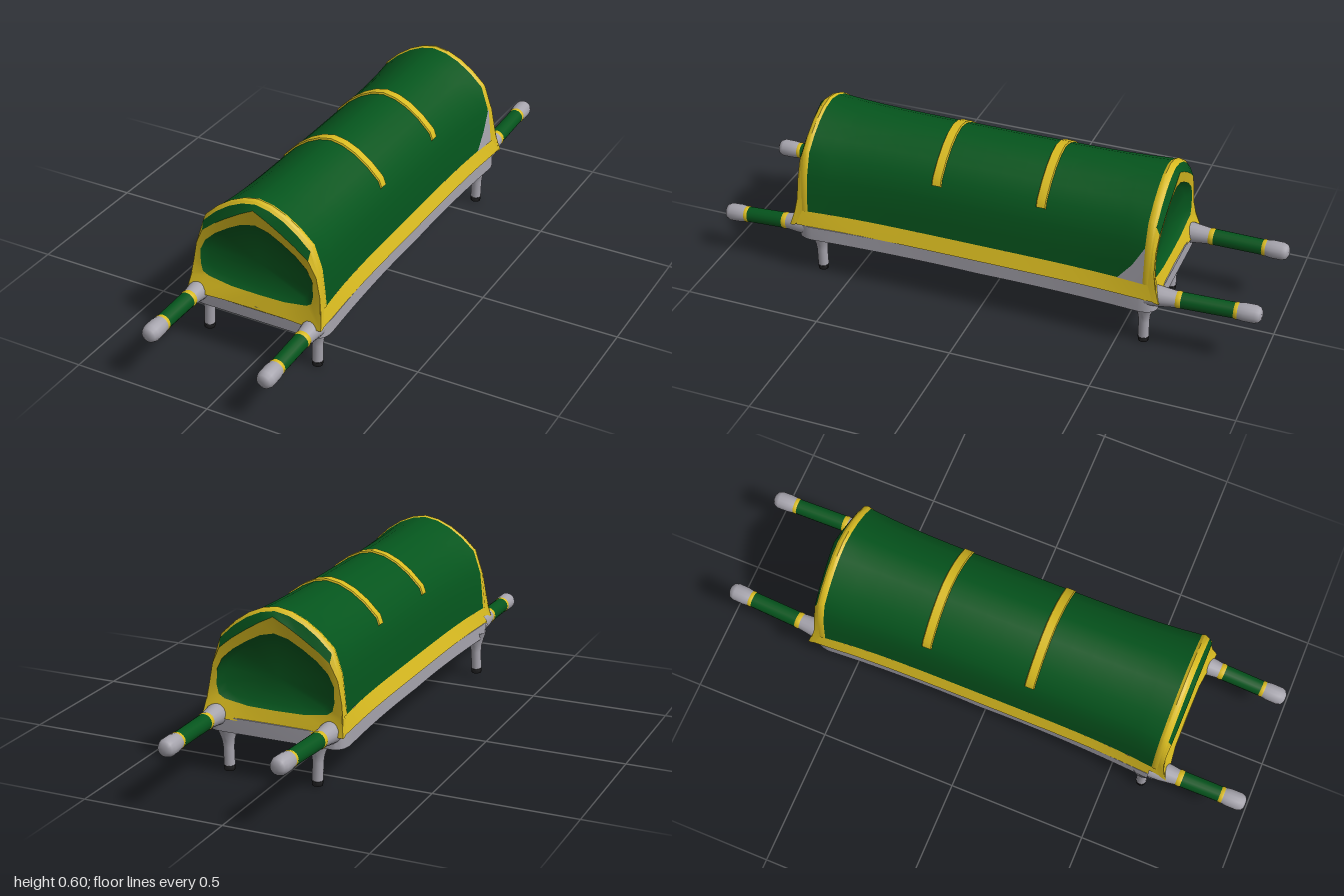
import * as THREE from 'three';
import { toCreasedNormals } from 'three/addons/utils/BufferGeometryUtils.js';

const paint = (name, color) => Object.assign(new THREE.MeshStandardMaterial({ color, side: THREE.DoubleSide }), { name });

// Half contours of the arch, from the ridge down the left side to the middle of the sill
const ARCH = [[0, .595], [.05, .586], [.1, .564], [.15, .53], [.2, .483], [.228, .4], [.237, .32], [.242, .265], [.254, .21], [.12, .2], [0, .2]];
const RIM = [[0, .588], [.05, .578], [.1, .555], [.15, .52], [.2, .472], [.227, .392], [.238, .316], [.244, .264], [.255, .207], [.12, .2], [0, .2]];
const BAND = [[0, .573], [.05, .547], [.1, .516], [.15, .482], [.198, .442], [.225, .385], [.239, .31], [.246, .262], [.255, .205], [.12, .2], [0, .2]];
const PANEL = [[0, .515], [.05, .503], [.1, .476], [.15, .443], [.19, .405], [.21, .365], [.212, .31], [.205, .28], [.185, .265], [.1, .252], [0, .25]];

const mirrored = half => [...half.slice(1).reverse().map(([x, y]) => [-x, y]), ...half];

// Surface through rows of [x, y, z] points
function loft(rows, crease = 0.7) {
  const n = rows[0].length, index = [];
  for (let i = 0; i < rows.length - 1; i++) {
    for (let j = 0; j < n - 1; j++) {
      const a = i * n + j, b = a + n;
      index.push(a, b, a + 1, b, b + 1, a + 1);
    }
  }
  const g = new THREE.BufferGeometry();
  g.setAttribute('position', new THREE.Float32BufferAttribute(rows.flat(2), 3));
  g.setIndex(index);
  return toCreasedNormals(g, crease);
}

// Cross-section at z: slimmer and a little lower in the middle than at the ends
function section(pts, z, s = 1) {
  const mid = 1 - Math.min(1, Math.pow(Math.abs(z - .02) / .63, 4));
  return pts.map(([x, y]) => [x * s * (1 - mid * (y < .25 ? .06 : .09)), .2 + (y - .2) * s * (1 - .03 * mid), z]);
}

function span(z0, z1, n) {
  return Array.from({ length: n + 1 }, (_, i) => z0 + (z1 - z0) * i / n);
}

// Plan outline of the base, scaled by s
function outline(s) {
  const plan = new THREE.Shape();
  plan.moveTo(-.2, -.69);
  plan.lineTo(.2, -.69);
  plan.quadraticCurveTo(.252, -.69, .252, -.63);
  plan.quadraticCurveTo(.228, -.3, .235, 0);
  plan.quadraticCurveTo(.228, .3, .247, .58);
  plan.quadraticCurveTo(.247, .64, .2, .64);
  plan.lineTo(-.2, .64);
  plan.quadraticCurveTo(-.247, .64, -.247, .58);
  plan.quadraticCurveTo(-.228, .3, -.235, 0);
  plan.quadraticCurveTo(-.228, -.3, -.252, -.63);
  plan.quadraticCurveTo(-.252, -.69, -.2, -.69);
  return plan.getPoints(8).map(p => p.multiplyScalar(s));
}

export function createModel() {
  const green = paint('green', 0x05551d), yellow = paint('yellow', 0xd9bb20);
  const grey = paint('grey', 0xa6a4ad), black = paint('black', 0x29292b);
  const model = new THREE.Group();

  const add = (name, geometry, material, parent = model) => {
    const m = new THREE.Mesh(geometry, material);
    m.name = name;
    parent.add(m);
    return m;
  };

  // Canopy skin, end rims and hem
  const roof = mirrored(ARCH.slice(0, 8));
  add('canopy', loft(span(-.59, .645, 16).map(z => section(roof, z))), green);
  add('frontRim', loft([.645, .655, .666].map(z => section(roof, z, z === .655 ? 1.01 : 1))), yellow);
  add('backRim', loft([-.611, -.6, -.59].map(z => section(roof, z, z === -.6 ? 1.01 : 1))), yellow);
  const hem = ARCH.slice(7, 9);
  const zs = span(-.635, .685, 16);
  add('leftHem', loft(zs.map(z => section(hem, z))), yellow);
  add('rightHem', loft(zs.map(z => section(hem.map(([x, y]) => [-x, y]).reverse(), z))), yellow);

  // Raised straps over the roof
  const strap = mirrored([...ARCH.slice(0, 5), [.211, .455]]);
  for (const z of [.168, -.212]) {
    add('roofStrap', loft([[-.018, 1], [-.015, 1.015], [.015, 1.015], [.018, 1]]
      .map(([d, s]) => section(strap, z + d, s))), yellow);
  }

  // Bare corner at the back of the left side
  const corner = ARCH.slice(5, 8), foot = corner[2];
  add('barePatch', loft([[-.592, 1], [-.55, .45], [-.5, 0]].map(([z, t]) =>
    section(corner.map(([x, y]) => [foot[0] + (x - foot[0]) * t, foot[1] + (y - foot[1]) * t]), z, 1.012))), grey);

  // End wall: green ring, yellow band and recessed green panel
  const atDepth = (half, zFor) => mirrored(half)
    .map(([x, y], k) => [x, y, zFor(Math.abs(k - half.length + 1))]);
  const outer = atDepth(ARCH, i => i < 8 ? .665 : .688);
  const rim = atDepth(RIM, i => i < 7 ? .674 : .694);
  const band = atDepth(BAND, i => [.69, .69, .689, .688, .686, .683, .684, .692, .71, .694, .692][i]);
  const panel = atDepth(PANEL, i => i < 8 ? .682 : .678);
  const inset = panel.map(([x, y]) => [x * .88, .36 + (y - .36) * .85, .662]);
  const centre = panel.map(() => [0, .36, .658]);
  function endWall(name) {
    const g = new THREE.Group();
    g.name = name;
    add('endEdge', loft([outer, rim]), yellow, g);
    // The green ring shows on the upper part of the arch only
    add('endRing', loft([rim.slice(6, 15), band.slice(6, 15)]), green, g);
    add('endPostLeft', loft([rim.slice(14), band.slice(14)]), yellow, g);
    add('endPostRight', loft([rim.slice(0, 7), band.slice(0, 7)]), yellow, g);
    add('endBand', loft([band, panel]), yellow, g);
    add('endPanel', loft([panel, inset, centre], 1.2), green, g);
    model.add(g);
    return g;
  }
  endWall('frontEnd');
  const back = endWall('backEnd');
  back.scale.z = -1;
  back.position.z = .055;

  // Base frame
  const frame = new THREE.Shape(outline(1));
  frame.holes.push(new THREE.Path(outline(.95)));
  const frameGeometry = new THREE.ExtrudeGeometry(frame, { depth: .053, bevelEnabled: false });
  frameGeometry.rotateX(-Math.PI / 2).translate(0, .155, 0);
  add('baseFrame', toCreasedNormals(frameGeometry, .6), grey);

  // Thin hollowed floor with a row of oval openings
  const floor = new THREE.Shape(outline(.97));
  for (let i = -2; i <= 2; i++) {
    const hole = new THREE.Path();
    hole.absellipse(0, i * .205 - .05, .075, .06, 0, Math.PI * 2, true);
    floor.holes.push(hole);
  }
  const floorGeometry = new THREE.ShapeGeometry(floor, 8).rotateX(-Math.PI / 2);
  const p = floorGeometry.attributes.position;
  for (let i = 0; i < p.count; i++) p.setY(i, .188 - .03 * Math.pow(p.getX(i) / .235, 2));
  add('floor', toCreasedNormals(floorGeometry, .6), grey);

  // Lumpy brackets under the floor
  for (const z of [.46, -.45]) {
    for (const [x, drop] of [[-.14, .035], [.08, .03], [.15, .03]]) {
      const lump = add('underBracket', new THREE.IcosahedronGeometry(1, 1), grey);
      lump.scale.set(.055, drop, .075);
      lump.position.set(x, .157, z);
    }
  }

  // Turned part running from a to b; each piece is [name, material, [radius, distance]...]
  function turned(name, a, b, pieces) {
    const g = new THREE.Group();
    g.name = name;
    const from = new THREE.Vector3(...a), dir = new THREE.Vector3(...b).sub(from).normalize();
    g.position.copy(from);
    g.quaternion.setFromUnitVectors(new THREE.Vector3(0, 1, 0), dir);
    for (const [part, material, ...profile] of pieces) {
      add(part, new THREE.LatheGeometry(profile.map(q => new THREE.Vector2(...q)), 16), material, g);
    }
    model.add(g);
  }

  // Legs with dark feet
  for (const [x, y, z, topX] of [[-.23, .014, .62, -.222], [.19, 0, .62, .195], [-.133, 0, -.59, -.14], [.19, 0, -.59, .195]]) {
    turned('leg', [x, y, z], [topX, .2, z], [
      ['foot', black, [0, 0], [.018, .002], [.02, .02]],
      ['legShaft', grey, [.019, .02], [.019, .085], [.022, .11], [.031, .138], [.042, .165]],
    ]);
  }

  // Carrying poles: flared socket, sleeve between two rings, rounded grip
  const poles = [
    [[-.222, .205, .64], [-.222, .2, .99]],
    [[.21, .192, .64], [.205, .167, .99]],
    [[-.202, .21, -.6], [-.185, .22, -.99]],
    [[.212, .21, -.6], [.203, .217, -.995]],
  ];
  for (const [a, b] of poles) {
    const len = Math.hypot(b[0] - a[0], b[1] - a[1], b[2] - a[2]);
    const s = a[2] > 0 ? .1 : .105, e = len - .09;
    turned('carryingPole', a, b, [
      ['socket', grey, [.038, 0], [.037, .04], [.033, .07], [.029, s]],
      ['innerRing', yellow, [.029, s], [.031, s + .009], [.029, s + .018]],
      ['sleeve', green, [.029, s + .018], [.028, e - .003]],
      ['outerRing', yellow, [.028, e - .003], [.03, e + .004], [.029, e + .01]],
      ['grip', grey, [.029, e + .01], [.032, e + .03], [.032, len - .022], [.026, len - .007], [.014, len], [0, len]],
    ]);
  }
  return model;
}
